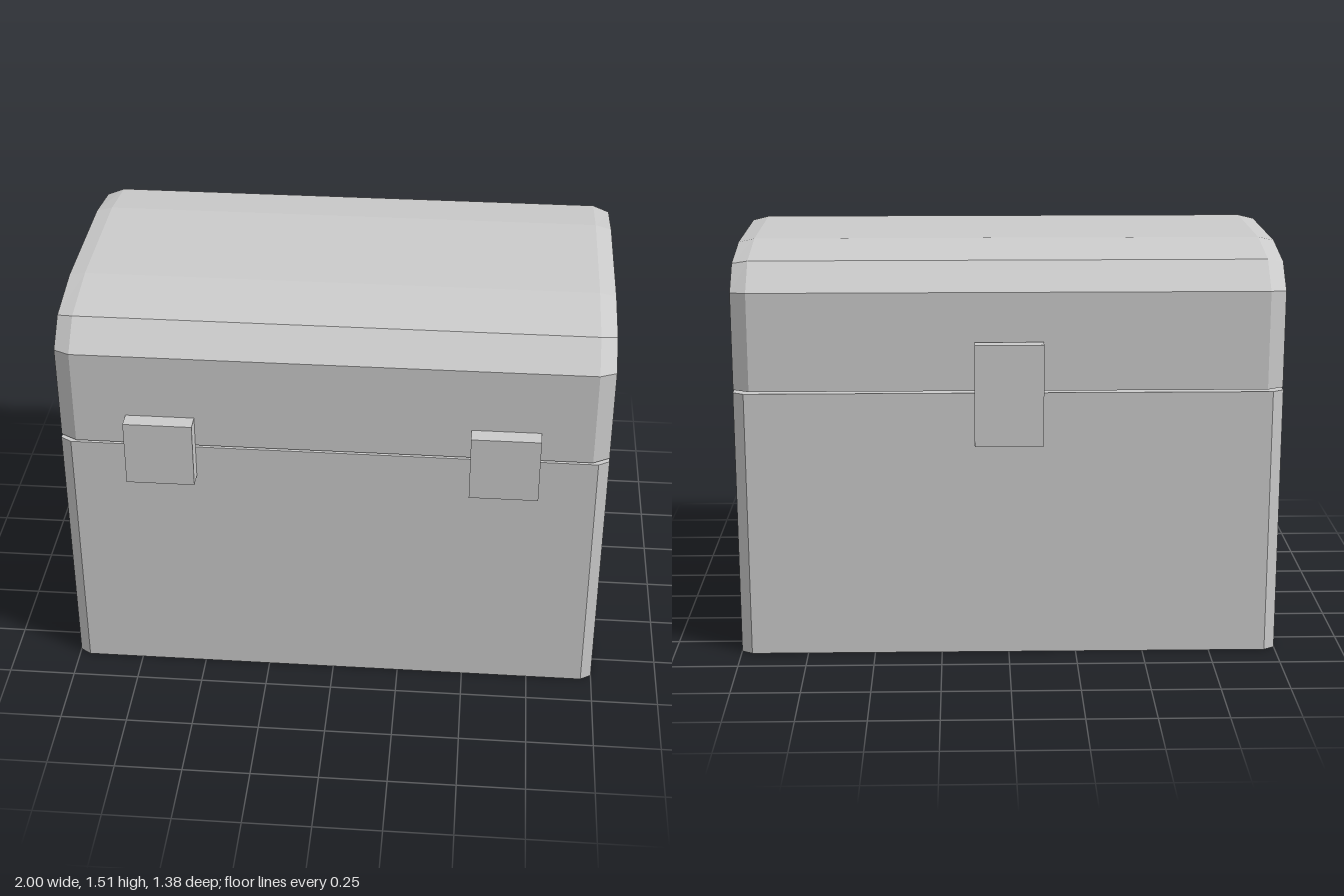
import * as THREE from 'three';

const material = new THREE.MeshStandardMaterial({ color: 0xcccccc, flatShading: true });

function add(parent, name, geometry, x = 0, y = 0, z = 0) {
  const mesh = new THREE.Mesh(geometry, material);
  mesh.name = name;
  mesh.position.set(x, y, z);
  parent.add(mesh);
  return mesh;
}

// Skin convex [z, y] sections along x; points run from the front, over the top, to the back
function loftAlongX(sections) {
  const n = sections[0].points.length;
  const positions = [];
  const indices = [];
  for (const { x, points } of sections) {
    for (const [z, y] of points) positions.push(x, y, z);
  }
  const last = (sections.length - 1) * n;
  for (let s = 0; s < last; s += n) {
    for (let i = 0; i < n; i++) {
      const j = (i + 1) % n;
      indices.push(s + i, s + n + i, s + n + j, s + i, s + n + j, s + j);
    }
  }
  for (let i = 1; i < n - 1; i++) {
    indices.push(0, i, i + 1, last, last + i + 1, last + i);
  }
  const indexed = new THREE.BufferGeometry();
  indexed.setAttribute('position', new THREE.Float32BufferAttribute(positions, 3));
  indexed.setIndex(indices);
  const geometry = indexed.toNonIndexed();
  geometry.computeVertexNormals();
  return geometry;
}

// Complete a front half profile with its mirrored back half
const mirrored = (half) => [...half, ...half.map(([z, y]) => [-z, y]).reverse()];

export function createModel() {
  const model = new THREE.Group();
  model.name = 'chest';

  // Body: a box with bevelled vertical corners
  const bodyFull = mirrored([[0.625, 0], [0.625, 1]]);
  const bodyEnd = mirrored([[0.6, 0], [0.6, 1]]);
  add(model, 'body', loftAlongX([
    { x: -1, points: bodyEnd },
    { x: -0.96, points: bodyFull },
    { x: 0.96, points: bodyFull },
    { x: 1, points: bodyEnd },
  ]));

  // Lid: a faceted arch with bevelled ends, just above the body
  const lidFull = mirrored([[0.625, 1.008], [0.625, 1.37], [0.52, 1.468], [0.27, 1.508]]);
  const lidEnd = mirrored([[0.59, 1.008], [0.59, 1.365], [0.495, 1.455], [0.265, 1.494]]);
  add(model, 'lid', loftAlongX([
    { x: -1, points: lidEnd },
    { x: -0.94, points: lidFull },
    { x: 0.94, points: lidFull },
    { x: 1, points: lidEnd },
  ]));

  // Front latches
  for (const side of [1, -1]) {
    add(model, side > 0 ? 'leftLatch' : 'rightLatch',
      new THREE.BoxGeometry(0.25, 0.25, 0.0625), side * 0.625, 1, 0.657);
  }

  // Back hinge plate
  add(model, 'hinge', new THREE.BoxGeometry(0.25, 0.375, 0.05), 0, 1.003, -0.663);

  return model;
}
